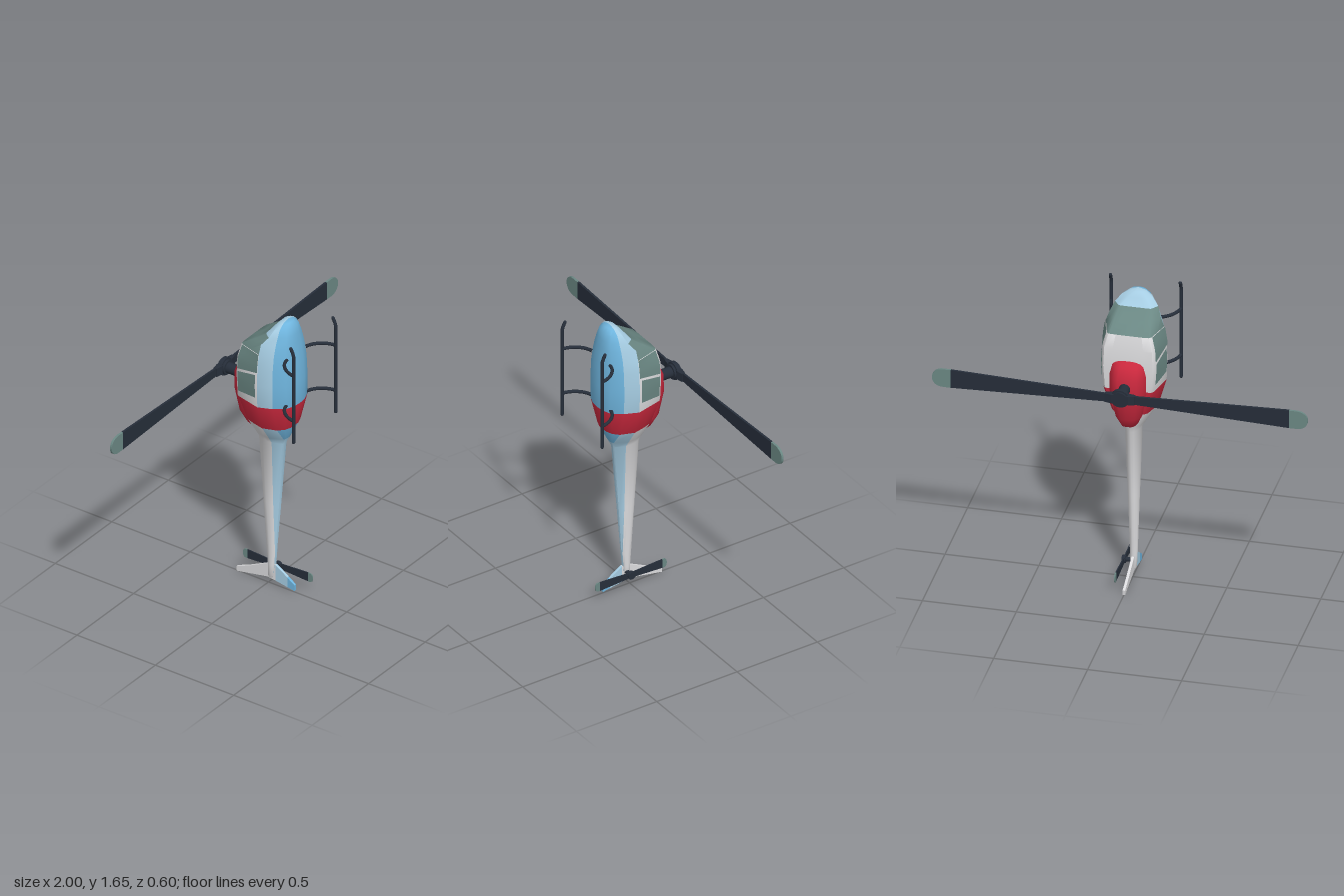
import * as THREE from 'three';
import { toCreasedNormals } from 'three/addons/utils/BufferGeometryUtils.js';

const mat = (name, color, side = THREE.FrontSide) => {
  const m = new THREE.MeshStandardMaterial({ color, side });
  m.name = name;
  return m;
};
const lerp = THREE.MathUtils.lerp;
const BELT = 0.05; // white cabin meets pale blue stripe
const LINE = 0.125; // pale blue stripe meets blue belly

export function createModel() {
  const blue = mat('sky blue', 0x6fb5de);
  const pale = mat('pale blue', 0xa6cde3);
  const white = mat('off white', 0xdcdcde);
  const red = mat('red', 0xc9283d);
  const glass = mat('grey green glass', 0x6b8884, THREE.DoubleSide);
  const dark = mat('dark slate', 0x262e3a);
  const model = new THREE.Group();

  const add = (name, geometry, material, parent = model) => {
    const m = new THREE.Mesh(geometry, material);
    m.name = name;
    parent.add(m);
    return m;
  };

  // Joins half sections [x, z] (roof centre to belly centre), mirrored, into a skin
  function loft(stations, materials, pick, crease) {
    const rings = stations.map(({ y, half }) => [
      ...half.map(([x, z]) => [x, y, z]),
      ...half.slice(1, -1).reverse().map(([x, z]) => [-x, y, z]),
    ]);
    const n = rings[0].length, h = n / 2;
    const buckets = materials.map(() => []);
    for (let i = 0; i < rings.length - 1; i++) {
      for (let j = 0; j < n; j++) {
        const k = (j + 1) % n;
        const a = i * n + j, b = i * n + k, c = a + n, d = b + n;
        buckets[pick(stations[i].y, j < h ? j : n - 1 - j)].push(a, c, b, b, c, d);
      }
    }
    const g = new THREE.BufferGeometry();
    g.setAttribute('position', new THREE.Float32BufferAttribute(rings.flat(2), 3));
    g.setIndex(buckets.flat());
    let start = 0;
    buckets.forEach((f, m) => { g.addGroup(start, f.length, m); start += f.length; });
    return toCreasedNormals(g, crease);
  }

  // Fuselage stations: y, half width, roof half width, roof z, belly z, roundness
  const body = [
    [0.03, 0.002, 0.001, 0.015, 0.025, 1],
    [0.05, 0.017, 0.012, 0.002, 0.038, 1],
    [0.12, 0.02, 0.012, 0, 0.045, 1],
    [0.20, 0.0225, 0.014, -0.006, 0.052, 1],
    [0.50, 0.031, 0.021, -0.027, 0.077, 1],
    [0.89, 0.043, 0.03, -0.055, 0.11, 1],
    [0.93, 0.068, 0.047, -0.067, 0.128, 0.8],
    [1.02, 0.125, 0.085, -0.095, 0.17, 0.4],
    [1.17, 0.168, 0.13, -0.112, 0.203, 0],
    [1.30, 0.172, 0.14, -0.112, 0.202, 0],
    [1.41, 0.167, 0.135, -0.11, 0.197, 0],
    [1.484, 0.155, 0.115, -0.094, 0.188, 0],
    [1.535, 0.137, 0.1, -0.02, 0.182, 0],
    [1.58, 0.115, 0.085, 0.045, 0.176, 0],
    [1.62, 0.085, 0.05, 0.072, 0.167, 0.3],
    [1.645, 0.045, 0.025, 0.094, 0.15, 0.6],
    [1.655, 0.001, 0.001, 0.122, 0.128, 1],
  ];
  function section([y, w, wr, zr, zb, round]) {
    const high = y > 1.57;
    const belt = high ? Math.max(BELT, lerp(zr, zb, 0.3)) : Math.min(BELT, lerp(zr, zb, 0.95));
    const line = Math.min(LINE, lerp(belt, zb, 0.9));
    const side = (t) => [lerp(wr, w, t), lerp(zr, belt, t)];
    const box = [[0, zr], [wr * 0.6, zr], [wr * 0.94, zr + (belt - zr) * 0.02], side(0.1), side(0.5), [w, belt],
      [w * 0.81, line], [w * 0.55, lerp(line, zb, 0.72)], [w * 0.25, lerp(line, zb, 0.96)], [0, zb]];
    const zc = (zr + zb) / 2, rz = (zb - zr) / 2;
    const angle = (z) => Math.acos(THREE.MathUtils.clamp((z - zc) / rz, -1, 1));
    const a5 = angle(belt), a6 = angle(line);
    const half = box.map(([x, z], j) => {
      const a = j <= 5 ? lerp(Math.PI, a5, j / 5) : lerp(a6, 0, (j - 6) / 3);
      const ex = j === 0 || j === 9 ? 0 : w * Math.sin(a);
      return [lerp(x, ex, round), lerp(z, zc + rz * Math.cos(a), round)];
    });
    return { y, half };
  }
  // Colour by station height and strip: red band, belly, stripe, windscreen, cabin
  add('fuselage', loft(body.map(section), [white, blue, red, glass, pale], (y, j) => {
    if (y === 1.02) return 2;
    if (j >= 6) return y < 0.93 ? 4 : 1;
    if (j === 5 || y >= 1.58) return 4;
    return y >= 1.484 ? 3 : 0;
  }, 0.75), [white, blue, red, glass, pale]);

  // Side windows: thin panes that follow the cabin wall
  function wallPoint(y, t, s) {
    let i = 0;
    while (i < body.length - 2 && body[i + 1][0] < y) i++;
    const f = (y - body[i][0]) / (body[i + 1][0] - body[i][0]);
    const [w, wr, zr] = [1, 2, 3].map((c) => lerp(body[i][c], body[i + 1][c], f));
    return [s * (lerp(wr, w, t) + 0.004), y, lerp(zr, BELT, t)];
  }
  function pane(name, s, t0, t1, top, bottom) {
    const p = [], idx = [], N = 4;
    for (let r = 0; r <= N; r++) {
      for (let c = 0; c <= N; c++) {
        const t = lerp(t0, t1, c / N), e = c / N;
        p.push(...wallPoint(lerp(lerp(top[0], top[1], e), lerp(bottom[0], bottom[1], e), r / N), t, s));
        if (r < N && c < N) {
          const a = r * (N + 1) + c, b = a + 1, d = a + N + 1, e2 = d + 1;
          if (s > 0) idx.push(a, d, b, b, d, e2); else idx.push(a, b, d, b, e2, d);
        }
      }
    }
    const g = new THREE.BufferGeometry();
    g.setAttribute('position', new THREE.Float32BufferAttribute(p, 3));
    g.setIndex(idx);
    g.computeVertexNormals();
    add(name, g, glass);
  }
  for (const s of [1, -1]) {
    pane('frontSideWindow', s, 0.1, 1, [1.484, 1.484], [1.345, 1.381]);
    pane('rearSideWindow', s, 0.13, 0.92, [1.33, 1.364], [1.208, 1.226]);
  }

  // Engine cowling on the roof: y, half width, top z
  const cowl = [[0.937, 0.02, -0.07], [0.96, 0.045, -0.125], [1.02, 0.072, -0.16], [1.16, 0.1, -0.183],
    [1.26, 0.1, -0.182], [1.32, 0.09, -0.156], [1.335, 0.075, -0.135], [1.345, 0.05, -0.105]];
  add('engineCowling', loft(cowl.map(([y, w, z]) => ({
    y,
    half: [[0, z], [w * 0.4, z], [w * 0.62, lerp(z, -0.05, 0.08)], [w * 0.85, lerp(z, -0.05, 0.3)],
      [w, lerp(z, -0.05, 0.6)], [w, -0.05], [0, -0.05]],
  })), [red], () => 0, 0.9), [red]);

  // Two-bladed rotor lying in its own XY plane
  function rotor(name, radius, tip, root, rootHalf, tipHalf, thick) {
    const g = new THREE.Group();
    g.name = name;
    const x1 = radius - tip, x2 = x1 + tip * 0.4, xc = lerp(x2, radius, 0.6);
    const blade = new THREE.Shape([[root, -rootHalf], [x1, -tipHalf], [x1, tipHalf], [root, rootHalf]]
      .map(([x, y]) => new THREE.Vector2(x, y)));
    const end = new THREE.Shape();
    end.moveTo(x1, -tipHalf);
    end.lineTo(x2, -tipHalf);
    end.bezierCurveTo(xc, -tipHalf, radius, -tipHalf * 0.6, radius, 0);
    end.bezierCurveTo(radius, tipHalf * 0.6, xc, tipHalf, x2, tipHalf);
    end.lineTo(x1, tipHalf);
    const opts = { depth: thick, bevelEnabled: false, curveSegments: 8 };
    for (const turn of [0, Math.PI]) {
      for (const [part, shape, m] of [['blade', blade, dark], ['bladeTip', end, glass]]) {
        const geo = new THREE.ExtrudeGeometry(shape, opts).translate(0, 0, -thick / 2);
        add(part, geo, m, g).rotation.z = turn;
      }
    }
    model.add(g);
    return g;
  }

  // Main rotor, mast and hub
  const HY = 1.217;
  rotor('mainRotor', 1, 0.1, 0.04, 0.022, 0.052, 0.012).position.set(0, HY, -0.284);
  const spindle = (name, r, z0, z1) =>
    add(name, new THREE.CylinderGeometry(r, r, z1 - z0, 20).rotateX(Math.PI / 2), dark)
      .position.set(0, HY, (z0 + z1) / 2);
  spindle('mast', 0.03, -0.26, -0.16);
  spindle('hubCollar', 0.041, -0.299, -0.255);
  spindle('hubDisc', 0.05, -0.29, -0.268);
  const arm = new THREE.Shape([[-0.08, -0.01], [-0.045, -0.017], [0.045, -0.017], [0.08, -0.01],
    [0.08, 0.01], [0.045, 0.017], [-0.045, 0.017], [-0.08, 0.01]].map(([x, z]) => new THREE.Vector2(x, z)));
  add('hubArm', new THREE.ExtrudeGeometry(arm, { depth: 0.05, bevelEnabled: false })
    .translate(0, 0, -0.025).rotateX(Math.PI / 2), dark).position.set(0, HY, -0.282);

  // Tail fin, split at the colour lines; outline points are [z, y]
  const fin = (name, pts, m) => add(name, new THREE.ExtrudeGeometry(
    new THREE.Shape(pts.map(([z, y]) => new THREE.Vector2(-z, y))),
    { depth: 0.014, bevelEnabled: false }).translate(0, 0, -0.007).rotateY(Math.PI / 2), m);
  fin('lowerFinTip', [[LINE, 0.076], [0.17, 0.045], [0.17, 0.01], [LINE, 0.0175]], blue);
  fin('lowerFinRoot', [[BELT, 0.125], [0.09, 0.1], [LINE, 0.076], [LINE, 0.0175], [BELT, 0.03]], pale);
  fin('upperFin', [[BELT, 0.03], [0, 0.037], [-0.197, 0], [-0.2, 0.027], [-0.125, 0.057], [0, 0.118], [BELT, 0.125]], white);

  // Tail rotor on the left side
  const tail = rotor('tailRotor', 0.222, 0.028, 0.01, 0.016, 0.026, 0.006);
  tail.rotation.y = Math.PI / 2;
  tail.position.set(0.05, 0.086, 0.025);
  for (const [name, r, x0, x1] of [['tailShaft', 0.012, 0, 0.045], ['tailHub', 0.022, 0.042, 0.062]]) {
    add(name, new THREE.CylinderGeometry(r, r, x1 - x0, 16).rotateZ(Math.PI / 2), dark)
      .position.set((x0 + x1) / 2, 0.086, 0.025);
  }

  // Landing skids and curved struts
  const v = (x, y, z) => new THREE.Vector3(x, y, z);
  for (const s of [1, -1]) {
    const X = s * 0.186;
    const path = new THREE.CurvePath();
    path.add(new THREE.LineCurve3(v(X, 1.055, 0.295), v(X, 1.57, 0.295)));
    path.add(new THREE.QuadraticBezierCurve3(v(X, 1.57, 0.295), v(X, 1.59, 0.295), v(X, 1.62, 0.277)));
    add('skid', new THREE.TubeGeometry(path, 40, 0.009, 10), dark);
    for (const [y, z] of [[1.055, 0.295], [1.62, 0.277]]) {
      add('skidEnd', new THREE.SphereGeometry(0.009, 10, 8), dark).position.set(X, y, z);
    }
    for (const y of [1.185, 1.46]) {
      const curve = new THREE.CubicBezierCurve3(v(s * 0.08, y, 0.175), v(s * 0.13, y, 0.18), v(s * 0.18, y, 0.23), v(X, y, 0.295));
      add('skidStrut', new THREE.TubeGeometry(curve, 16, 0.009, 10), dark);
    }
  }
  return model;
}
